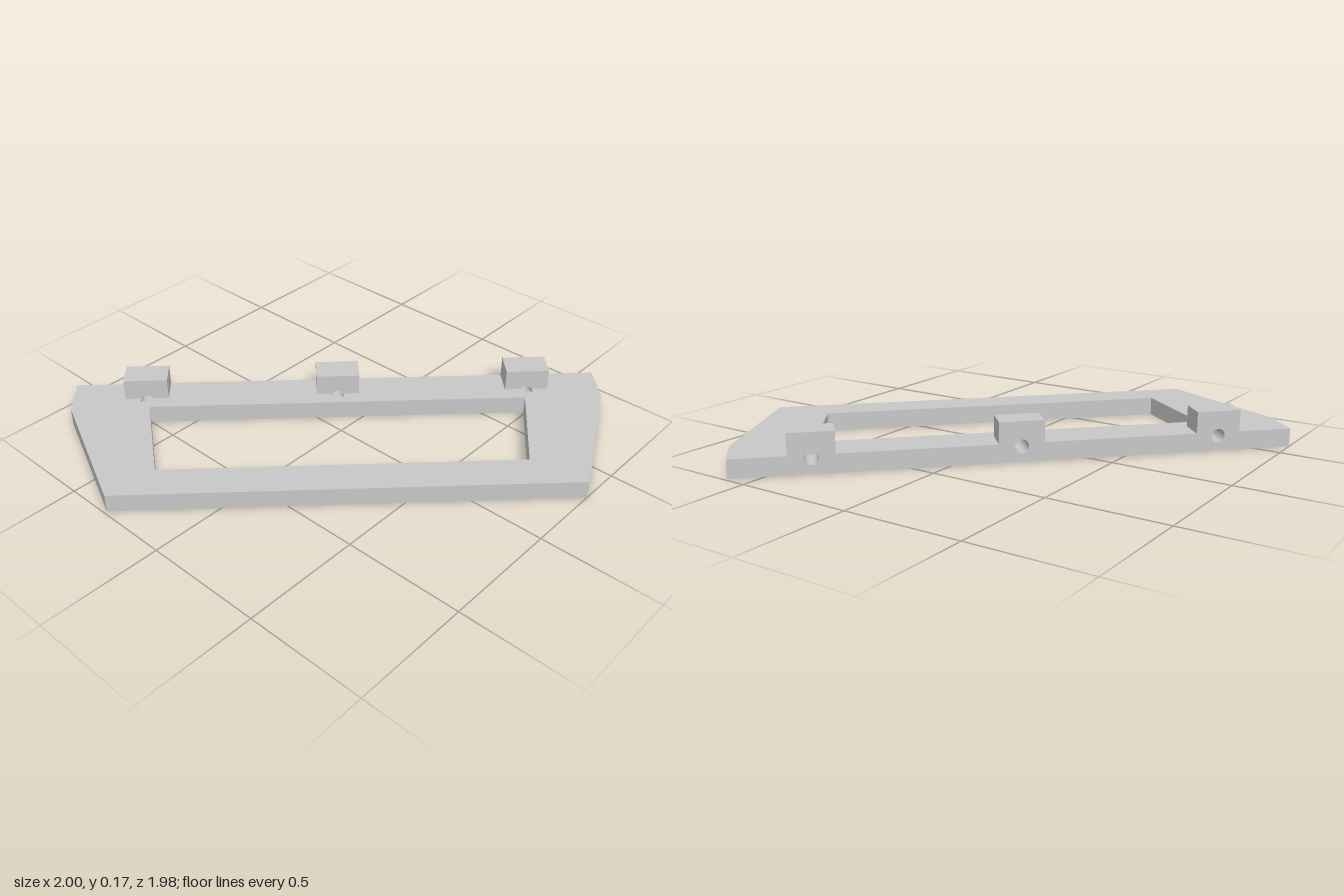
import * as THREE from 'three';
import { toCreasedNormals } from 'three/addons/utils/BufferGeometryUtils.js';

const PLATE = 0.077, TOP = 0.167;       // plate thickness, lug top
const HALF = 0.0915, DEPTH = 0.115;     // lug half width and depth
const GROOVE = 0.022;                   // bore run past the lug
const R = 0.028, BORE_Y = 0.064;        // cross bore
const LUGS = [-0.822, -0.007, 0.808];   // positions along the straight edge
const EDGE = -0.278;                    // straight back edge of the frame

export function createModel() {
  const model = new THREE.Group();
  model.name = 'bracketFrame';
  const grey = new THREE.MeshStandardMaterial({ color: 0xc8c8c8 });
  grey.name = 'grey';

  // Everything is built along the straight edge, then turned 45 degrees
  const frame = new THREE.Group();
  frame.name = 'frame';
  frame.rotation.y = Math.PI / 4;
  model.add(frame);

  // Plan position (x, z) to the turned frame's shape plane
  const plan = ([x, z]) => new THREE.Vector2((x - z) * Math.SQRT1_2, -(x + z) * Math.SQRT1_2);
  const extrude = (shape, depth) => toCreasedNormals(
    new THREE.ExtrudeGeometry(shape, { depth, bevelEnabled: false, curveSegments: 24 }), 0.6);
  const add = (name, geometry, x = 0, z = 0) => {
    const mesh = new THREE.Mesh(geometry, grey);
    mesh.name = name;
    mesh.position.set(x, 0, z);
    frame.add(mesh);
  };

  // Plate outline, with a pocket for each lug in the back edge
  const outline = [[1, -0.32], [-0.308, 0.988], [-0.87, 0.735], [-1, 0.607]].map(plan);
  for (const u of LUGS) {
    const inner = EDGE + DEPTH + GROOVE;
    outline.push(
      new THREE.Vector2(u - HALF, -EDGE), new THREE.Vector2(u - HALF, -inner),
      new THREE.Vector2(u + HALF, -inner), new THREE.Vector2(u + HALF, -EDGE));
  }
  outline.push(plan([0.597, -0.99]), plan([0.723, -0.862]));
  const plate = new THREE.Shape(outline);
  // The opening runs opposite to the outline so its walls face inward
  plate.holes.push(new THREE.Path(
    [[-0.64, 0.5], [-0.29, 0.758], [0.75, -0.282], [0.49, -0.63]].map(plan)));
  add('plate', extrude(plate, PLATE).rotateX(-Math.PI / 2));

  // Lug section with a round bore
  const lug = new THREE.Shape();
  lug.moveTo(-HALF, 0).lineTo(HALF, 0).lineTo(HALF, TOP).lineTo(-HALF, TOP).closePath();
  lug.holes.push(new THREE.Path().absarc(0, BORE_Y, R, 0, Math.PI * 2, true));
  const lugGeometry = extrude(lug, DEPTH);

  // Plate section in front of a lug, scooped by the end of the bore
  const a = Math.asin((PLATE - BORE_Y) / R);
  const scoop = new THREE.Shape();
  scoop.moveTo(-HALF, 0).lineTo(HALF, 0).lineTo(HALF, PLATE).lineTo(R * Math.cos(a), PLATE);
  scoop.absarc(0, BORE_Y, R, a, Math.PI - a, true);
  scoop.lineTo(-HALF, PLATE).closePath();
  const scoopGeometry = extrude(scoop, GROOVE);

  for (const u of LUGS) {
    add('lug', lugGeometry, u, EDGE);
    add('boreGroove', scoopGeometry, u, EDGE + DEPTH);
  }
  return model;
}
